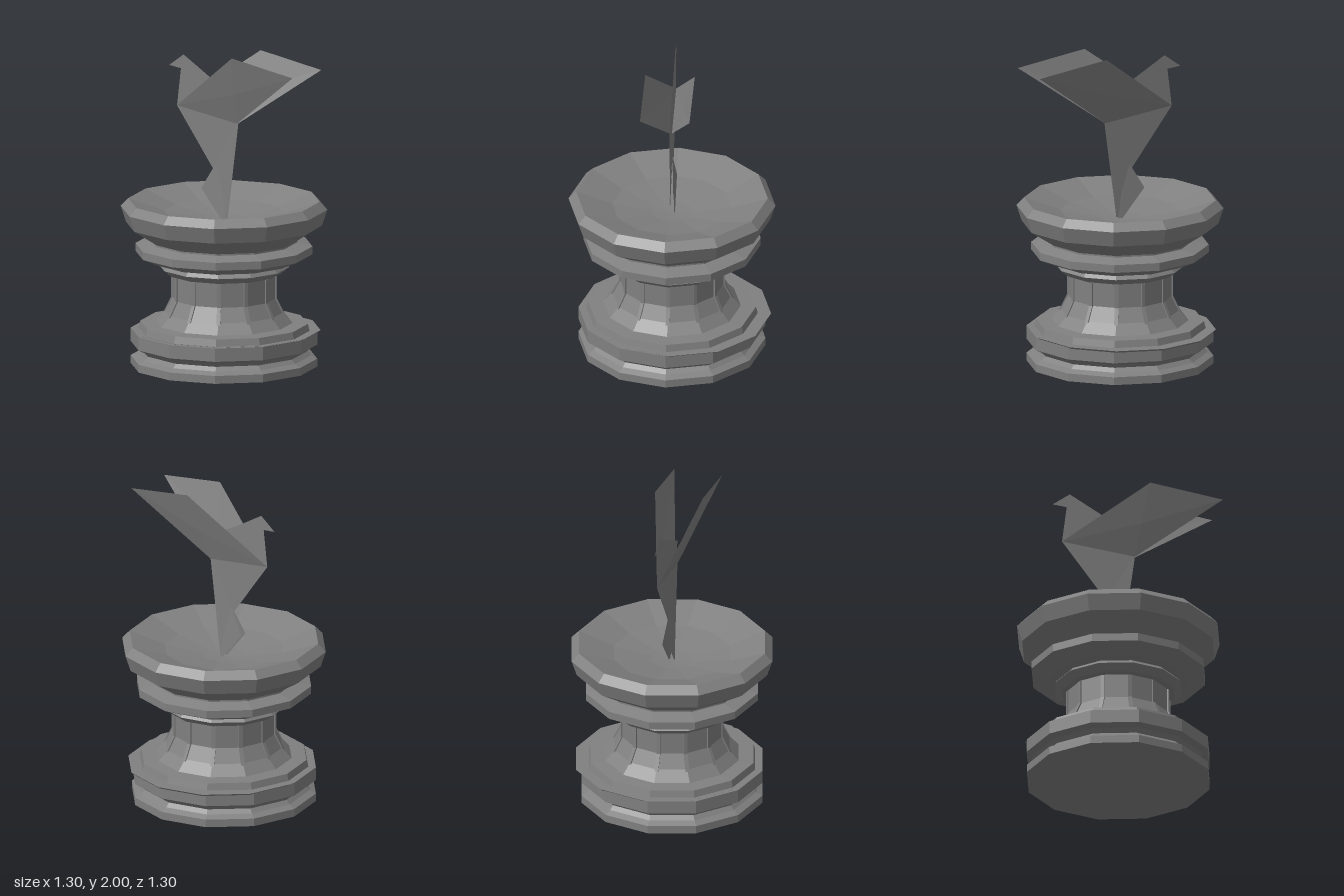
import * as THREE from 'three';

const stone = new THREE.MeshStandardMaterial({ color: 0x808080, flatShading: true });
const paper = new THREE.MeshStandardMaterial({ color: 0x808080, flatShading: true, side: THREE.DoubleSide });

function add(parent, name, geometry, material) {
  const mesh = new THREE.Mesh(geometry, material);
  mesh.name = name;
  parent.add(mesh);
  return mesh;
}

// Twelve-sided turned piece from [radius, height] pairs
function turned(pairs) {
  return new THREE.LatheGeometry(pairs.map(([r, y]) => new THREE.Vector2(r, y)), 12);
}

// Folded sheet: a fan of triangles around the first corner
function sheet(corners) {
  const g = new THREE.BufferGeometry();
  const out = [];
  for (let i = 1; i < corners.length - 1; i++) out.push(...corners[0], ...corners[i], ...corners[i + 1]);
  g.setAttribute('position', new THREE.Float32BufferAttribute(out, 3));
  g.computeVertexNormals();
  return g;
}

export function createModel() {
  const model = new THREE.Group();
  model.name = 'birdOnPedestal';

  // Pedestal, in tiers from the ground up
  const pedestal = new THREE.Group();
  pedestal.name = 'pedestal';
  model.add(pedestal);
  add(pedestal, 'base', turned([
    [0, 0], [0.585, 0], [0.585, 0.05], [0.545, 0.07], [0.52, 0.095], [0.545, 0.12],
    [0.585, 0.14], [0.585, 0.225], [0.537, 0.225], [0.525, 0.27], [0.43, 0.275],
  ]), stone);
  add(pedestal, 'column', turned([[0.43, 0.275], [0.37, 0.34], [0.325, 0.43], [0.325, 0.585]]), stone);
  add(pedestal, 'collar', turned([
    [0.325, 0.585], [0.36, 0.59], [0.408, 0.63], [0.385, 0.655], [0.44, 0.665],
    [0.555, 0.715], [0.555, 0.765], [0.46, 0.79], [0.46, 0.8],
  ]), stone);
  add(pedestal, 'bowl', turned([
    [0.46, 0.8], [0.615, 0.9], [0.648, 1.0], [0.6, 1.05], [0.375, 0.975], [0.13, 0.935], [0, 0.925],
  ]), stone);

  // Thin ledge that sits a little towards the back of the base
  add(pedestal, 'ledge', turned([[0, 0.213], [0.57, 0.213], [0.585, 0.226], [0, 0.227]]), stone).position.z = -0.035;

  // Slim ribs along the corners of the column
  const rib = new THREE.Shape();
  rib.moveTo(0.3, 0.33);
  [[0.38, 0.33], [0.331, 0.43], [0.331, 0.58], [0.3, 0.58]].forEach(([r, y]) => rib.lineTo(r, y));
  const ribGeometry = new THREE.ExtrudeGeometry(rib, { depth: 0.024, bevelEnabled: false }).translate(0, 0, -0.012);
  for (let i = 0; i < 12; i++) add(pedestal, 'columnRib', ribGeometry, stone).rotation.y = (i * Math.PI) / 6;

  // Folded bird, standing in the bowl and facing -x
  const bird = new THREE.Group();
  bird.name = 'foldedBird';
  model.add(bird);
  add(bird, 'neck', sheet([
    [-0.36, 1.61, 0], [0.105, 1.55, 0], [0.13, 1.7, 0], [-0.09, 1.81, 0], [-0.31, 1.94, 0], [-0.33, 1.85, 0],
  ]), paper);
  add(bird, 'head', sheet([[-0.31, 1.94, 0], [-0.42, 1.86, 0], [-0.33, 1.85, 0]]), paper);

  for (const side of [1, -1]) {
    // Each wing is creased around a point near its middle
    const root = [-0.36, 1.61, 0];
    add(bird, 'wing', sheet([
      [0.13, 1.75, side * 0.078], root, [0.105, 1.55, side * 0.007],
      [0.635, 1.93, side * 0.155], [0.17, 2, side * 0.155], root,
    ]), paper);
    add(bird, 'body', sheet([
      [0.105, 1.55, side * 0.007], root, [-0.08, 1.24, side * 0.004], [0.02, 0.93, side * 0.012],
    ]), paper);
    add(bird, 'foot', sheet([
      [-0.04, 1.31, 0], [-0.16, 1.11, side * 0.02], [-0.01, 0.93, side * 0.018], [0.02, 0.93, side * 0.015],
    ]), paper);
  }
  return model;
}
